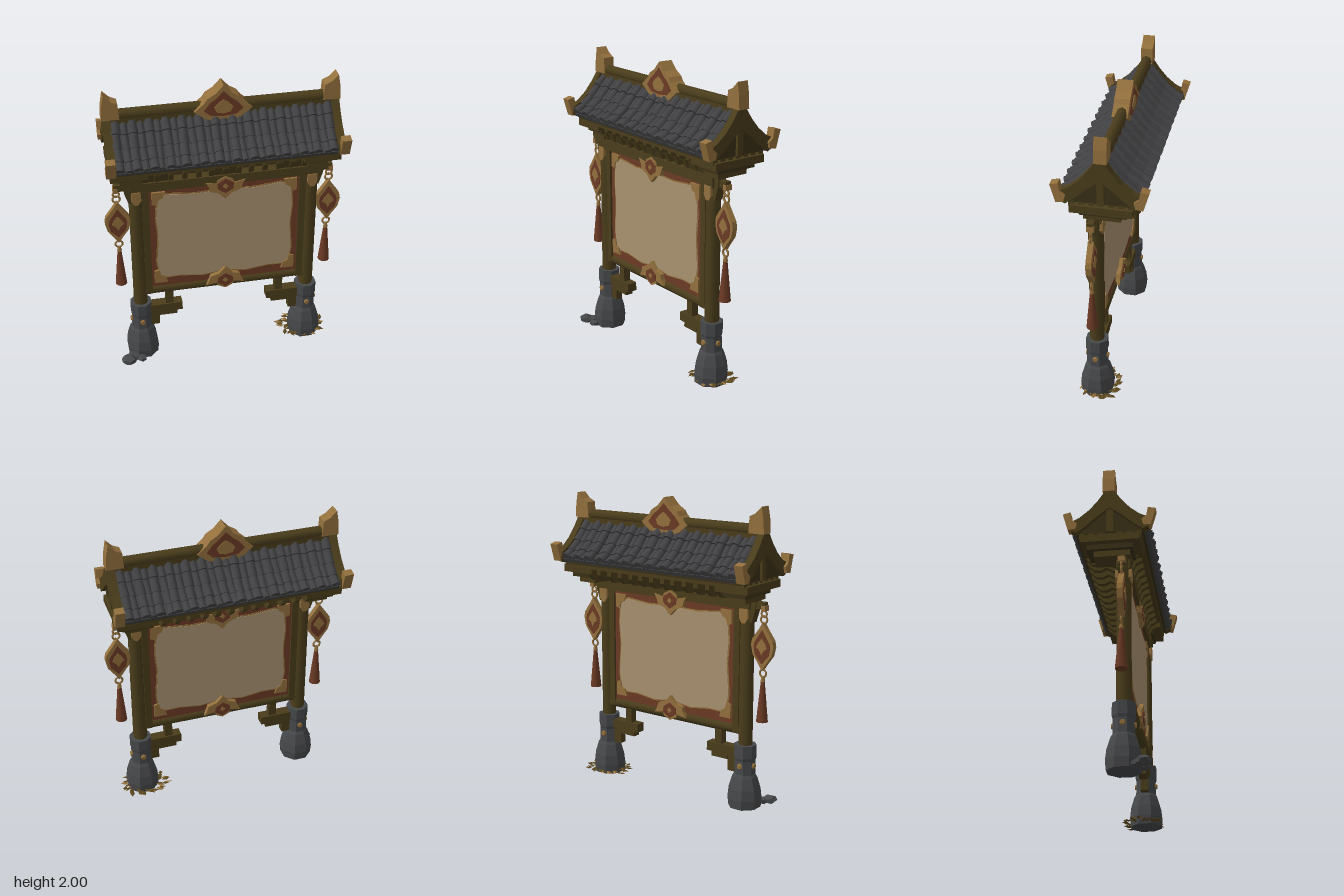
import * as THREE from 'three';

const mat = (name, color) => {
  const m = new THREE.MeshStandardMaterial({ color });
  m.name = name;
  return m;
};

export function createModel() {
  const wood = mat('olive wood', 0x4a3d1b), darkWood = mat('dark wood', 0x3a3016);
  const slate = mat('slate tile', 0x424244), stone = mat('grey stone', 0x47484a);
  const gold = mat('aged gold', 0x93703d), red = mat('russet red', 0x6c3a25);
  const paper = mat('parchment', 0xa99270), leaf = mat('dry leaf', 0x5a471f);

  const root = new THREE.Group();
  root.name = 'noticeBoard';
  const Z = 0.07; // plane of posts and board
  let seed = 7;
  const rnd = () => (seed = (seed * 16807) % 2147483647) / 2147483647;

  const add = (name, geo, m) => {
    const mesh = new THREE.Mesh(geo, m);
    mesh.name = name;
    root.add(mesh);
    return mesh;
  };
  const flat = (g) => {
    const n = g.index ? g.toNonIndexed() : g;
    n.computeVertexNormals();
    return n;
  };
  // Box given by its ranges
  const box = (name, m, x0, x1, y0, y1, z0, z1) =>
    add(name, new THREE.BoxGeometry(Math.abs(x1 - x0), y1 - y0, z1 - z0)
      .translate((x0 + x1) / 2, (y0 + y1) / 2, (z0 + z1) / 2), m);
  // Outline in x,y with thickness d centred on z
  const plate = (name, m, pts, z, d) => {
    const shape = new THREE.Shape(pts.map(([x, y]) => new THREE.Vector2(x, y)));
    return add(name, new THREE.ExtrudeGeometry(shape, { depth: d, bevelEnabled: false }).translate(0, 0, z - d / 2), m);
  };
  // Outline in z,y swept from x0 to x1
  const sweepX = (name, m, pts, x0, x1) => {
    const shape = new THREE.Shape(pts.map(([z, y]) => new THREE.Vector2(-z, y)));
    const lo = Math.min(x0, x1);
    return add(name, new THREE.ExtrudeGeometry(shape, { depth: Math.abs(x1 - x0), bevelEnabled: false })
      .rotateY(Math.PI / 2).translate(lo, 0, 0), m);
  };
  // Completes a half outline by mirroring it, and shifts it sideways
  const sym = (half, cx = 0) => [
    ...half.map(([x, y]) => [cx + x, y]),
    ...half.filter(([x]) => x > 0).reverse().map(([x, y]) => [cx - x, y]),
  ];
  // Tapered round bar from a to b
  const rod = (name, m, a, b, ra, rb, n = 8) => {
    const A = new THREE.Vector3(...a), B = new THREE.Vector3(...b), d = B.clone().sub(A);
    const mesh = add(name, new THREE.CylinderGeometry(rb, ra, d.length(), n), m);
    mesh.position.copy(A).add(B).multiplyScalar(0.5);
    mesh.quaternion.setFromUnitVectors(new THREE.Vector3(0, 1, 0), d.normalize());
    return mesh;
  };

  // Board with trim, parchment and corner fittings
  box('redBoard', red, -0.5, 0.5, 0.55, 1.34, Z - 0.02, Z + 0.02);
  const sheet = (g) => sym([[0, 1.27 + g], [0.2, 1.262 + g], [0.38, 1.28 + g], [0.44 + g, 1.25 + g], [0.452 + g, 1.1],
    [0.44 + g, 0.95], [0.455 + g, 0.75], [0.435 + g, 0.62 - g], [0.3, 0.625 - g], [0.15, 0.605 - g], [0, 0.625 - g]]);
  plate('parchmentTrim', gold, sheet(0.009), Z, 0.046);
  plate('parchment', paper, sheet(0), Z, 0.052);
  const corner = [[0.478, 1.305], [0.478, 1.215], [0.445, 1.205], [0.435, 1.245], [0.405, 1.26], [0.39, 1.305]];
  for (const s of [1, -1]) {
    plate('topCorner', gold, corner.map(([x, y]) => [s * x, y]), Z, 0.068);
    plate('bottomCorner', gold, corner.map(([x, y]) => [s * x, 0.585 + (1.305 - y) * 1.05]), Z, 0.068);
  }

  // Frame rails
  box('topRail', wood, -0.62, 0.62, 1.325, 1.39, Z - 0.045, Z + 0.045);
  rod('bottomRail', wood, [-0.55, 0.52, Z], [0.55, 0.52, Z], 0.036, 0.036, 10);

  // Ornaments in the middle of both rails
  const crest = [[0, 1.385], [0.05, 1.36], [0.06, 1.335], [0.13, 1.35], [0.11, 1.315], [0.1, 1.28], [0.045, 1.262], [0, 1.215]];
  const gem = [[0, 1.37], [0.055, 1.335], [0.05, 1.295], [0, 1.262]];
  const flip = (pts) => pts.map(([x, y]) => [x, 1.875 - y]);
  plate('topOrnament', gold, sym(crest), Z, 0.104);
  plate('topOrnamentInset', red, sym(gem), Z, 0.114);
  plate('bottomOrnament', gold, sym(flip(crest)), Z, 0.104);
  plate('bottomOrnamentInset', red, sym(flip(gem)), Z, 0.114);
  for (const y of [1.315, 0.56]) plate('ornamentBoss', gold, sym([[0, y + 0.02], [0.018, y], [0, y - 0.02]]), Z, 0.122);

  for (const s of [1, -1]) {
    const cx = s * 0.577;
    // Posts and side stiles
    rod('post', wood, [cx, 0.38, Z], [cx, 1.52, Z], 0.048, 0.046, 10);
    box('stile', wood, s * 0.495, s * 0.54, 0.5, 1.36, Z - 0.035, Z + 0.035);
    plate('postTab', gold, sym([[0, 1.33], [0.03, 1.33], [0.032, 1.27], [0.015, 1.24], [0, 1.235]], cx), Z, 0.104);

    // Stone footing
    const prof = [[0, 0], [0.105, 0], [0.11, 0.06], [0.102, 0.13], [0.08, 0.205], [0.068, 0.225], [0.066, 0.32],
      [0.072, 0.34], [0.072, 0.425], [0, 0.425]].map(([r, y]) => new THREE.Vector2(r * 1.04, y));
    add('footing', flat(new THREE.LatheGeometry(prof, 8, Math.PI / 8)), stone).position.set(cx, 0, Z);
    for (let i = 0; i < 4; i++) {
      const a = i * Math.PI / 2;
      const dx = Math.sin(a), dz = Math.cos(a);
      rod('footingStud', gold, [cx + dx * 0.055, 0.285, Z + dz * 0.055], [cx + dx * 0.076, 0.285, Z + dz * 0.076], 0.024, 0.016, 6);
    }

    // Stepped brackets under the bottom rail
    box('hanger', wood, s * 0.355, s * 0.407, 0.38, 0.5, Z - 0.025, Z + 0.025);
    box('lowerArm', wood, s * 0.295, s * 0.53, 0.335, 0.395, Z - 0.035, Z + 0.035);
    box('lowerArmFoot', wood, s * 0.33, s * 0.455, 0.3, 0.336, Z - 0.028, Z + 0.028);
    box('footingBracket', wood, s * 0.455, s * 0.52, 0.225, 0.336, Z - 0.025, Z + 0.025);

    // Stepped brackets outside the post head
    box('eaveStep', wood, s * 0.5, s * 0.74, 1.465, 1.515, -0.19, 0.19);
    box('eaveStepMiddle', darkWood, s * 0.53, s * 0.7, 1.43, 1.47, -0.15, 0.14);
    box('eaveStepLow', wood, s * 0.54, s * 0.675, 1.39, 1.435, -0.11, 0.12);
    plate('postHeadCorbel', wood, [[0.6, 1.4], [0.66, 1.4], [0.65, 1.32], [0.625, 1.24], [0.6, 1.24]].map(([x, y]) => [s * x, y]), Z, 0.06);

    // Hanging pendant with tassel
    const px = s * 0.7;
    box('pendantArm', wood, s * 0.62, s * 0.715, 1.335, 1.38, Z - 0.02, Z + 0.02);
    box('pendantArmTip', gold, s * 0.69, s * 0.72, 1.325, 1.36, Z - 0.023, Z + 0.023);
    for (const [y, r] of [[1.305, 0.02], [1.268, 0.024], [0.92, 0.024]]) {
      const ring = add('pendantRing', new THREE.TorusGeometry(r, 0.007, 6, 12), gold);
      ring.position.set(px, y, Z);
    }
    plate('pendant', gold, sym([[0, 1.25], [0.025, 1.21], [0.075, 1.14], [0.083, 1.1], [0.07, 1.04], [0.03, 0.985], [0, 0.94]], px), Z, 0.036);
    plate('pendantInset', red, sym([[0, 1.205], [0.055, 1.12], [0.06, 1.09], [0.05, 1.04], [0, 0.985]], px), Z, 0.044);
    plate('pendantBoss', gold, sym([[0, 1.15], [0.025, 1.12], [0.04, 1.09], [0.015, 1.07], [0, 1.04]], px), Z, 0.052);
    rod('tassel', red, [px, 0.6, Z], [px, 0.87, Z], 0.039, 0.013, 10);
    rod('tasselKnot', gold, [px, 0.865, Z], [px, 0.9, Z], 0.016, 0.01, 8);
  }

  // Bracket layer between the top rail and the eaves
  box('bracketBeam', darkWood, -0.62, 0.62, 1.428, 1.5, Z - 0.035, Z + 0.035);
  box('centreBlock', darkWood, -0.1, 0.1, 1.385, 1.43, Z - 0.03, Z + 0.03);
  const arm = [[0.17, 1.51], [0.17, 1.47], [0.13, 1.45], [0.105, 1.39], [0.03, 1.385], [-0.02, 1.41], [-0.06, 1.435],
    [-0.1, 1.415], [-0.14, 1.42], [-0.185, 1.465], [-0.185, 1.51]];
  for (const x of [0, 0.09, 0.17, 0.26, 0.35, 0.44, 0.52]) {
    for (const s of x ? [1, -1] : [1]) sweepX('bracketArm', wood, arm, s * x - 0.016, s * x + 0.016);
  }
  for (const s of [1, -1]) box('sideBlock', darkWood, s * 0.34, s * 0.58, 1.385, 1.43, Z - 0.03, Z + 0.03);
  for (let i = -3; i <= 3; i++) box('purlin', wood, -0.72, 0.72, 1.5, 1.536, i * 0.06 - 0.018, i * 0.06 + 0.018);
  box('soffit', darkWood, -0.7, 0.7, 1.525, 1.542, -0.215, 0.215);

  // Concave tiled roof
  const slope = [[0.01, 1.785], [0.065, 1.725], [0.125, 1.655], [0.19, 1.6], [0.247, 1.563]];
  const half = [[0, 1.795], ...slope, [0.235, 1.541], [0, 1.541]];
  sweepX('roofBed', slate, sym(half), -0.705, 0.705);
  const tiles = 26;
  for (let i = 0; i <= tiles; i++) {
    const cover = i % 2 === 0, r = cover ? 0.031 : 0.023;
    for (const s of [1, -1]) {
      let x = -0.675 + (1.35 * i) / tiles;
      for (let k = 0; k < slope.length - 1; k++) {
        const [z0, y0] = slope[k], [z1, y1] = slope[k + 1];
        const nx = x + (rnd() - 0.5) * 0.008, lift = cover ? 0.006 : 0;
        rod(cover ? 'coverTile' : 'panTile', slate, [x, y0 + lift, s * z0], [nx, y1 + lift + 0.004, s * z1],
          r * 0.9, r * (1.02 + rnd() * 0.14), 8);
        x = nx;
      }
    }
  }

  // Ridge beam
  rod('ridgeBeam', wood, [-0.72, 1.84, -0.004], [0.72, 1.84, -0.004], 0.036, 0.036, 8);
  box('ridgeBase', wood, -0.71, 0.71, 1.785, 1.83, -0.032, 0.025);

  // Gable ends, ridge finials and upturned eave tips
  const barge = sym([[0, 1.84], [0.035, 1.815], [0.075, 1.755], [0.13, 1.69], [0.19, 1.64], [0.25, 1.61], [0.262, 1.555],
    [0.21, 1.53], [0.15, 1.575], [0.08, 1.64], [0, 1.7]]);
  const gable = sym([[0, 1.78], [0.09, 1.69], [0.2, 1.6], [0.215, 1.53], [0, 1.53]]);
  for (const s of [1, -1]) {
    sweepX('bargeBoard', wood, barge, s * 0.7, s * 0.75);
    sweepX('gablePanel', darkWood, gable, s * 0.69, s * 0.72);
    box('gablePost', wood, s * 0.7, s * 0.738, 1.53, 1.72, -0.022, 0.022);
    plate('ridgeFinial', gold, [[0.645, 1.82], [0.652, 1.925], [0.695, 1.945], [0.738, 1.988], [0.752, 1.91], [0.757, 1.82]]
      .map(([x, y]) => [s * x, y]), -0.006, 0.078);
    for (const t of [1, -1]) {
      sweepX('eaveTip', gold, [[0.295, 1.66], [0.245, 1.672], [0.235, 1.615], [0.205, 1.59], [0.215, 1.55], [0.262, 1.545]]
        .map(([z, y]) => [t * z, y]), s * 0.708, s * 0.768);
    }
  }

  // Ridge ornament
  plate('ridgeOrnament', gold, sym([[0, 2], [0.05, 1.945], [0.1, 1.915], [0.12, 1.885], [0.183, 1.83], [0.15, 1.805],
    [0.1, 1.765], [0.05, 1.757], [0, 1.775]]), 0.003, 0.1);
  plate('ridgeOrnamentInset', red, sym([[0, 1.962], [0.045, 1.915], [0.085, 1.885], [0.125, 1.835], [0.08, 1.797], [0, 1.79]]), 0.003, 0.108);
  plate('ridgeOrnamentBoss', gold, sym([[0, 1.905], [0.025, 1.89], [0.06, 1.855], [0.045, 1.82], [0, 1.81]]), 0.003, 0.117);

  // Fallen leaves around one footing, loose rocks by the other
  for (let i = 0; i < 44; i++) {
    const a = i * 2.4, r = 0.1 + rnd() * 0.06;
    const l = add('leaf', flat(new THREE.OctahedronGeometry(0.03)), i % 4 ? leaf : gold);
    l.scale.set(0.5, 0.2, 1);
    l.position.set(0.565 + Math.sin(a) * r * 1.05, 0.016 + rnd() * 0.014, 0.05 + Math.cos(a) * r * 0.82);
    l.rotation.set((rnd() - 0.5) * 0.7, a + rnd(), 0);
  }
  for (const [x, z, r] of [[-0.69, 0.2, 0.05], [-0.65, 0.16, 0.045], [-0.6, 0.19, 0.035]]) {
    const rock = add('rock', flat(new THREE.DodecahedronGeometry(r)), stone);
    rock.scale.set(1.1, 0.6, 1);
    rock.position.set(x, r * 0.5, z);
    rock.rotation.y = x * 9;
  }
  return root;
}
